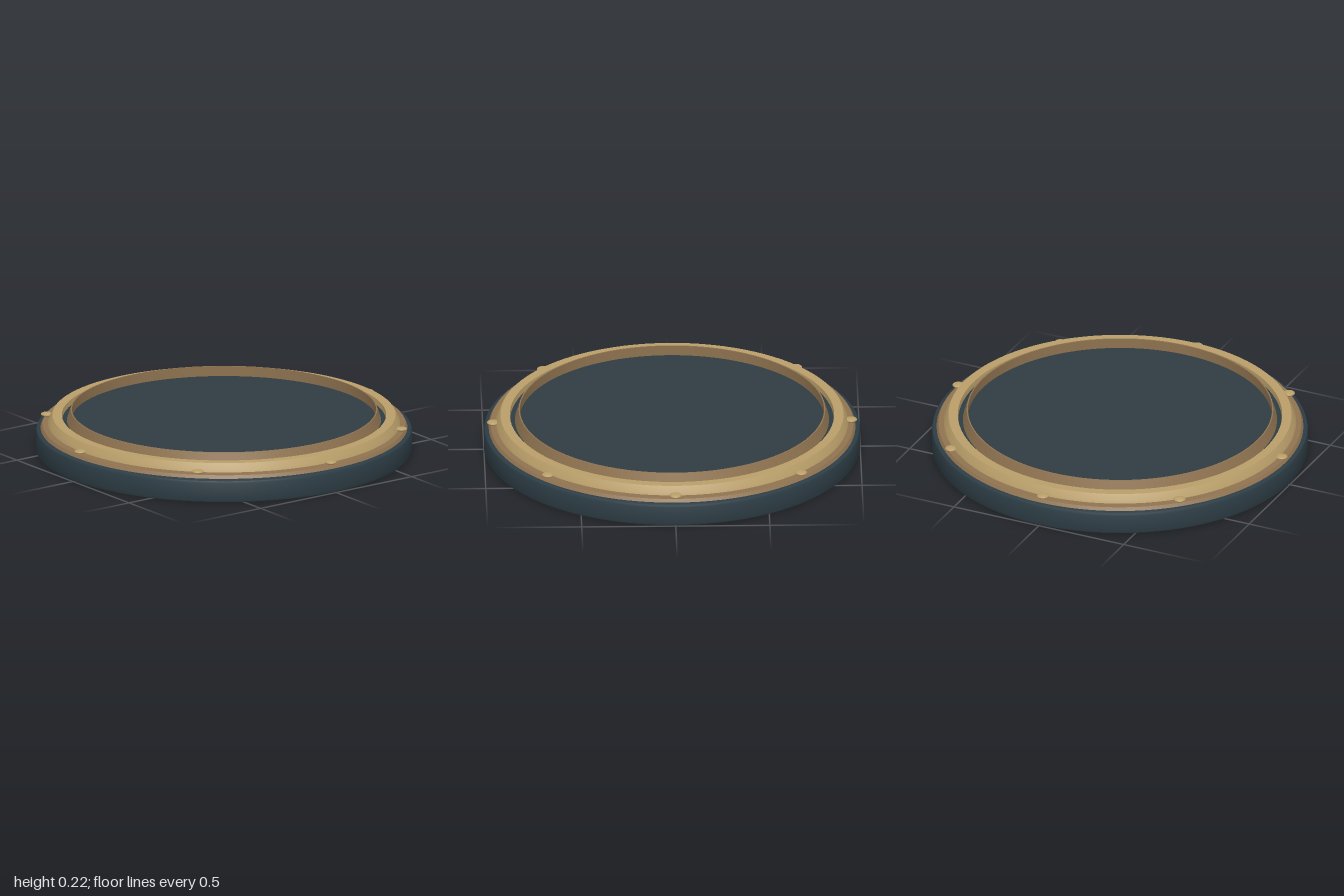
import * as THREE from 'three';
import { toCreasedNormals } from 'three/addons/utils/BufferGeometryUtils.js';

const mat = (name, color, side = THREE.FrontSide) => {
  const m = new THREE.MeshStandardMaterial({ color, side });
  m.name = name;
  return m;
};

export function createModel() {
  const group = new THREE.Group();
  const slate = mat('slate', 0x2d3d45);
  const glass = mat('dark face', 0x2f3c43);
  const gold = mat('gold', 0xb99e69);
  const bronze = mat('bronze', 0x8f7350, THREE.DoubleSide);

  // Turned part: profile of [radius, height] points, counter-clockwise
  const turned = (name, profile, material) => {
    const points = profile.map(([r, y]) => new THREE.Vector2(r, y));
    const geometry = toCreasedNormals(new THREE.LatheGeometry(points, 96), 0.5);
    const mesh = new THREE.Mesh(geometry, material);
    mesh.name = name;
    group.add(mesh);
  };

  // Round base with softened edges and a raised step under the rings
  turned('base', [
    [0, 0], [0.985, 0], [0.996, 0.004], [1, 0.014],
    [1, 0.108], [0.996, 0.119], [0.985, 0.125],
    [0.88, 0.125], [0.88, 0.165], [0, 0.165],
  ], slate);

  // Thin flange carrying the studs
  turned('flange', [
    [0.87, 0.126], [0.975, 0.126], [0.965, 0.143], [0.87, 0.143], [0.87, 0.126],
  ], bronze);

  // Main bezel with a sloped outer side
  turned('bezel', [
    [0.858, 0.15], [0.936, 0.15], [0.93, 0.165], [0.912, 0.195], [0.862, 0.195], [0.858, 0.15],
  ], gold);

  // Narrow inner rim
  turned('innerRim', [
    [0.81, 0.16], [0.835, 0.165], [0.815, 0.225], [0.808, 0.225], [0.81, 0.16],
  ], bronze);

  // Recessed flat face
  turned('face', [[0.81, 0.17], [0, 0.17]], glass);

  // Eight flattened studs around the flange
  const studGeometry = new THREE.SphereGeometry(1, 20, 12);
  for (let i = 0; i < 8; i++) {
    const a = (i * Math.PI) / 4;
    const stud = new THREE.Mesh(studGeometry, gold);
    stud.name = 'stud';
    stud.scale.set(0.032, 0.011, 0.032);
    stud.position.set(Math.cos(a) * 0.952, 0.157, Math.sin(a) * 0.952);
    group.add(stud);
  }

  return group;
}
